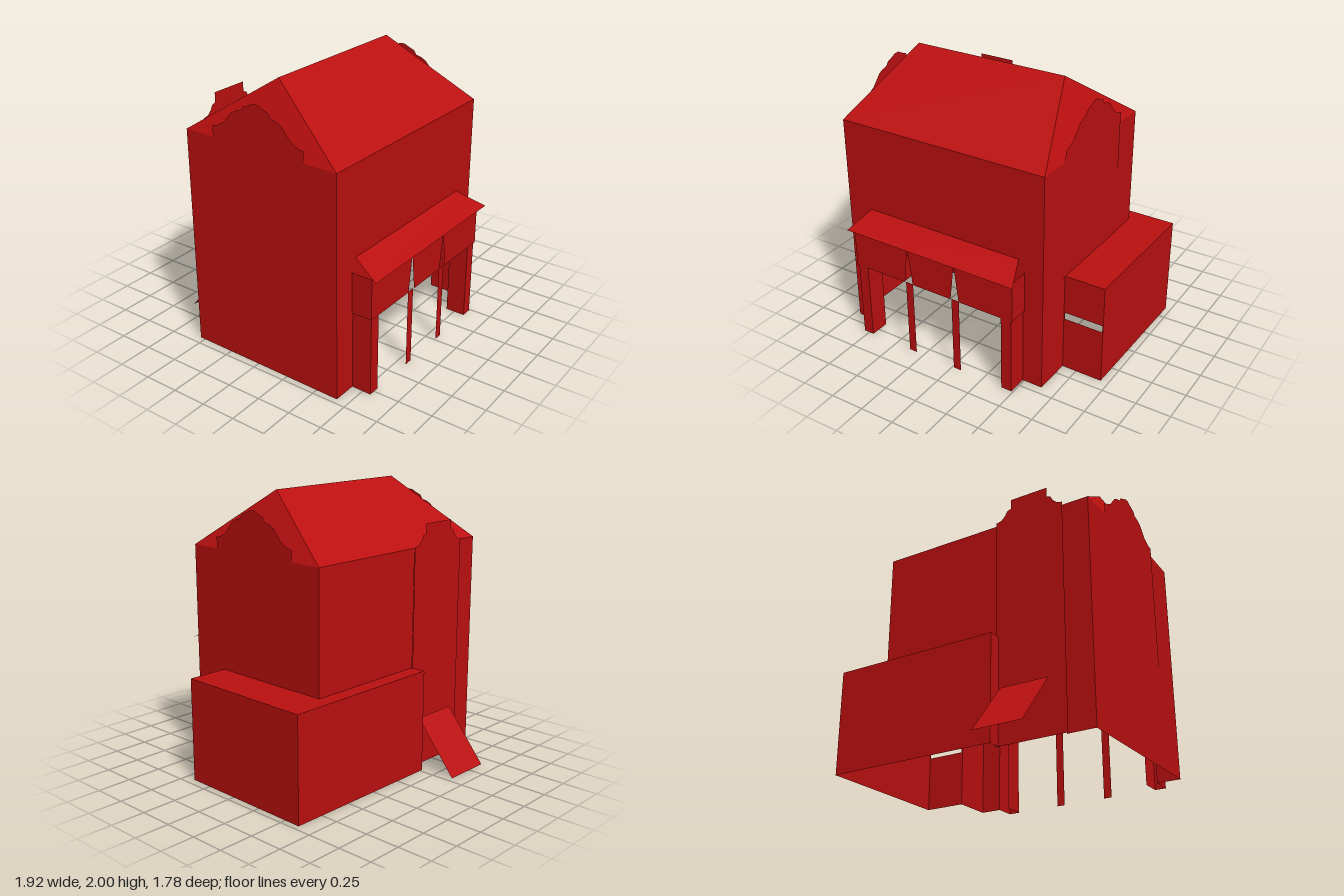
import * as THREE from 'three';

const material = new THREE.MeshStandardMaterial({ color: 0xbb0f0f, side: THREE.DoubleSide, flatShading: true });

// Places a 2D point on a wall: 'z' walls face front/back, 'x' walls face sideways
const onWall = {
  z: (u, v, at) => [u, v, at],
  x: (u, v, at) => [at, v, u],
};

const rect = (u0, v0, u1, v1) => [[u0, v0], [u1, v0], [u1, v1], [u0, v1]];
const toPoints = (list) => list.map(([u, v]) => new THREE.Vector2(u, v));

// Thin upright wall with any outline and holes
function wall(group, name, axis, at, outline, holes = []) {
  const shape = new THREE.Shape(toPoints(outline));
  holes.forEach((h) => shape.holes.push(new THREE.Path(toPoints(h))));
  const geo = new THREE.ShapeGeometry(shape);
  const p = geo.attributes.position;
  for (let i = 0; i < p.count; i++) p.setXYZ(i, ...onWall[axis](p.getX(i), p.getY(i), at));
  geo.computeVertexNormals();
  return add(group, name, geo);
}

// Flat convex face from its corners
function face(group, name, corners) {
  const data = [];
  for (let i = 1; i < corners.length - 1; i++) data.push(...corners[0], ...corners[i], ...corners[i + 1]);
  const geo = new THREE.BufferGeometry();
  geo.setAttribute('position', new THREE.Float32BufferAttribute(data, 3));
  geo.computeVertexNormals();
  return add(group, name, geo);
}

function add(group, name, geo) {
  const mesh = new THREE.Mesh(geo, material);
  mesh.name = name;
  group.add(mesh);
  return mesh;
}

function part(parent, name) {
  const g = new THREE.Group();
  g.name = name;
  parent.add(g);
  return g;
}

// Mirrors a half outline (offset from centre, height) into a full one
const symmetric = (centre, half) => [
  ...half.map(([d, y]) => [centre - d, y]),
  ...half.slice().reverse().map(([d, y]) => [centre + d, y]),
];

export function createModel() {
  const model = new THREE.Group();
  model.name = 'house';
  const plan = part(model, 'building');
  plan.rotation.y = -0.0156;

  const L = -0.95, R = 0.65, F = 0.68, B = -0.525, EAVE = 1.59;
  const annexTop = 0.74, annexFront = 0.4, annexBack = -0.635, annexLeft = -0.28, annexRight = 0.95;

  // Main walls, open towards the porch, the annex and the rear bay
  const body = part(plan, 'mainBody');
  wall(body, 'frontWall', 'z', F, [
    [L, 0], [-0.78, 0], [-0.78, 0.67], [0.5, 0.67], [0.5, 0], [R, 0], [R, EAVE], [L, EAVE],
  ]);
  wall(body, 'rightSideWall', 'x', L, rect(B, 0, F, EAVE));
  wall(body, 'leftSideWall', 'x', R, [
    [F, 0], [annexFront, 0], [annexFront, annexTop], [B, annexTop], [B, EAVE], [F, EAVE],
  ]);
  wall(body, 'backWall', 'z', B, [
    [L, 0], [-0.75, 0], [-0.75, 1.56], [annexLeft, 1.56], [annexLeft, annexTop],
    [R, annexTop], [R, EAVE], [L, EAVE],
  ]);

  // Hipped roof
  const roof = part(plan, 'roof');
  const ridgeA = [-0.74, 2, 0.083], ridgeB = [0.43, 2, 0.083];
  const fl = [L, EAVE, F], fr = [R, EAVE, F], bl = [L, EAVE, B], br = [R, EAVE, B];
  face(roof, 'frontSlope', [fl, fr, ridgeB, ridgeA]);
  face(roof, 'backSlope', [br, bl, ridgeA, ridgeB]);
  face(roof, 'rightHip', [bl, fl, ridgeA]);
  face(roof, 'leftHip', [fr, br, ridgeB]);

  // Curved ornamental gables standing just outside the side walls
  const gable = symmetric(0.075, [
    [0.365, annexTop], [0.365, 1.67], [0.32, 1.68], [0.27, 1.71], [0.2, 1.79], [0.16, 1.81],
    [0.12, 1.82], [0.1, 1.85], [0.06, 1.865], [0.02, 1.885],
  ]);
  wall(plan, 'rightGable', 'x', L - 0.004, gable);
  wall(plan, 'leftGable', 'x', R + 0.004, gable);

  // Tall rear bay with a stepped, rounded top, and the chute below it
  wall(plan, 'rearGable', 'z', B - 0.02, symmetric(-0.515, [
    [0.255, 0], [0.255, 1.6], [0.215, 1.61], [0.185, 1.64], [0.17, 1.67], [0.14, 1.68], [0.14, 1.75],
  ]));
  face(plan, 'rearChute', [
    [-0.66, 0.37, -0.575], [-0.31, 0.37, -0.575], [-0.31, 0, -0.88], [-0.66, 0, -0.88],
  ]);

  // Low annex wrapping the back corner, with a slot in its front
  const annex = part(plan, 'annex');
  wall(annex, 'annexFront', 'z', annexFront, rect(R, 0, annexRight, annexTop),
    [rect(R + 0.01, 0.4, annexRight - 0.006, 0.45)]);
  wall(annex, 'annexSide', 'x', annexRight, rect(annexBack, 0, annexFront, annexTop));
  wall(annex, 'annexBack', 'z', annexBack, rect(annexLeft, 0, annexRight, annexTop));
  wall(annex, 'annexEnd', 'x', annexLeft, rect(annexBack, 0, B, annexTop));
  face(annex, 'annexRoofSide', [
    [R, annexTop, annexFront], [annexRight, annexTop, annexFront],
    [annexRight, annexTop, annexBack], [R, annexTop, annexBack],
  ]);
  face(annex, 'annexRoofBack', [
    [annexLeft, annexTop, B], [R, annexTop, B], [R, annexTop, annexBack], [annexLeft, annexTop, annexBack],
  ]);

  // Porch: valance with pointed notches over slim posts
  const porch = part(plan, 'porch');
  const posts = [-0.33, 0.055], PF = 0.83, low = 0.57, high = 0.862;
  const valance = [[-0.79, low]];
  posts.forEach((x) => valance.push([x - 0.033, low], [x, 0.84], [x + 0.033, low]));
  valance.push([0.51, low], [0.51, high], [-0.79, high]);
  wall(porch, 'valanceFront', 'z', PF, valance);
  [-0.79, 0.51].forEach((x) => wall(porch, 'valanceSide', 'x', x, rect(F, low, PF, high)));
  posts.forEach((x) => wall(porch, 'post', 'z', PF - 0.006, rect(x - 0.03, 0, x + 0.03, low)));

  // Corner piers, open at the back
  [[-0.78, -0.7], [0.42, 0.5]].forEach(([a, b]) => {
    wall(porch, 'pierFront', 'z', PF - 0.006, rect(a, 0, b, low));
    [a, b].forEach((x) => wall(porch, 'pierSide', 'x', x, rect(F, 0, PF - 0.006, low)));
  });

  // Sloping porch roof sheet
  face(porch, 'porchRoof', [
    [-0.815, 0.863, 0.878], [0.545, 0.863, 0.878], [0.465, 0.953, F], [-0.755, 0.953, F],
  ]);

  return model;
}
